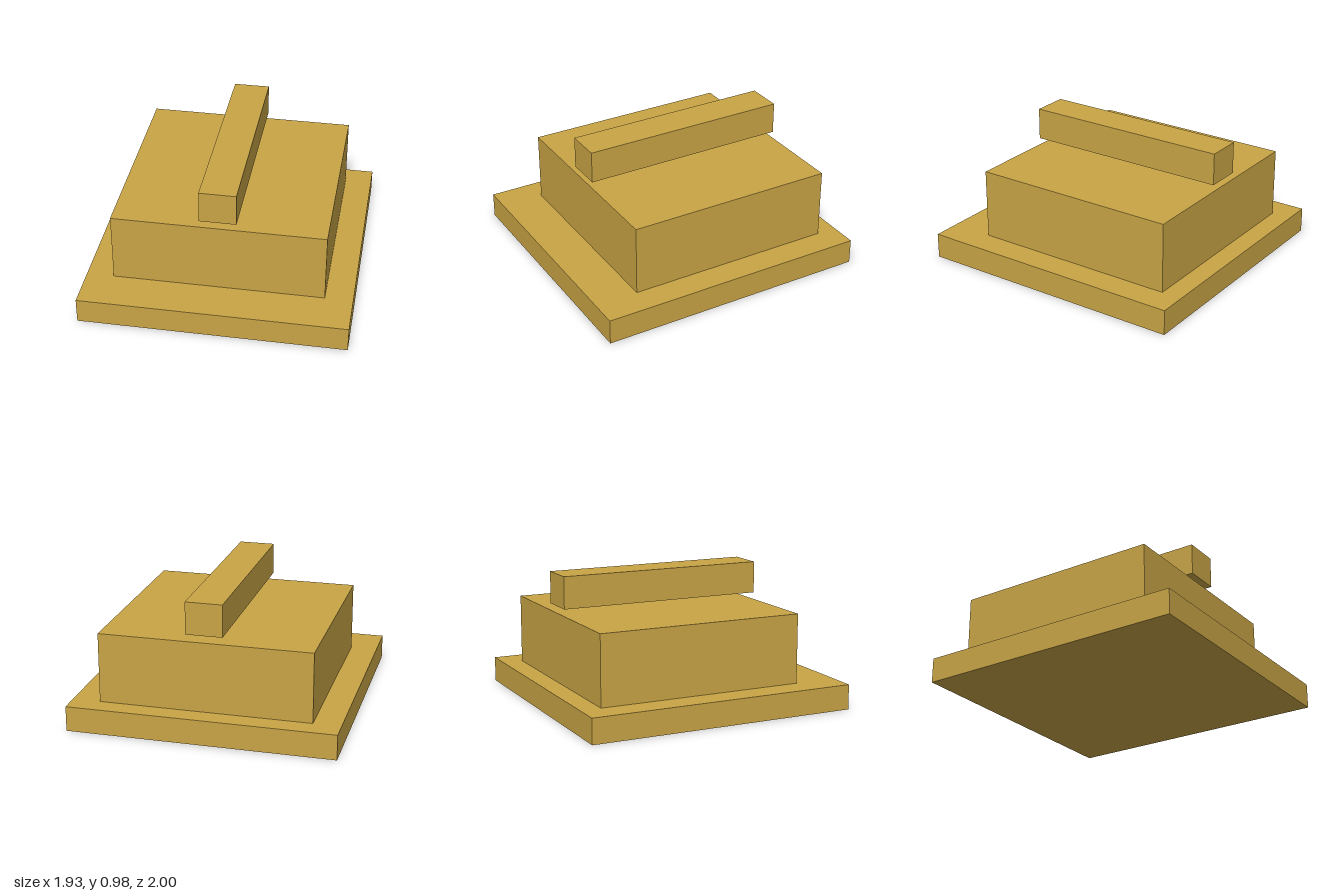
import * as THREE from 'three';

export function createModel() {
  const model = new THREE.Group();
  model.name = 'steppedBlock';
  const gold = new THREE.MeshStandardMaterial({ color: 0xc8a445 });
  gold.name = 'ochre gold';

  // Box given by its minimum and maximum corners
  function block(name, [x0, y0, z0], [x1, y1, z1]) {
    const mesh = new THREE.Mesh(new THREE.BoxGeometry(x1 - x0, y1 - y0, z1 - z0), gold);
    mesh.position.set((x0 + x1) / 2, (y0 + y1) / 2, (z0 + z1) / 2);
    mesh.name = name;
    model.add(mesh);
  }

  // Wide plinth, main block set towards the back, floating bar above it
  block('basePlate', [-0.966, 0, -1], [0.966, 0.184, 1]);
  block('mainBlock', [-0.768, 0.184, -0.85], [0.764, 0.694, 0.682]);
  block('topBar', [-0.134, 0.745, -0.85], [0.13, 0.979, 0.682]);

  return model;
}
